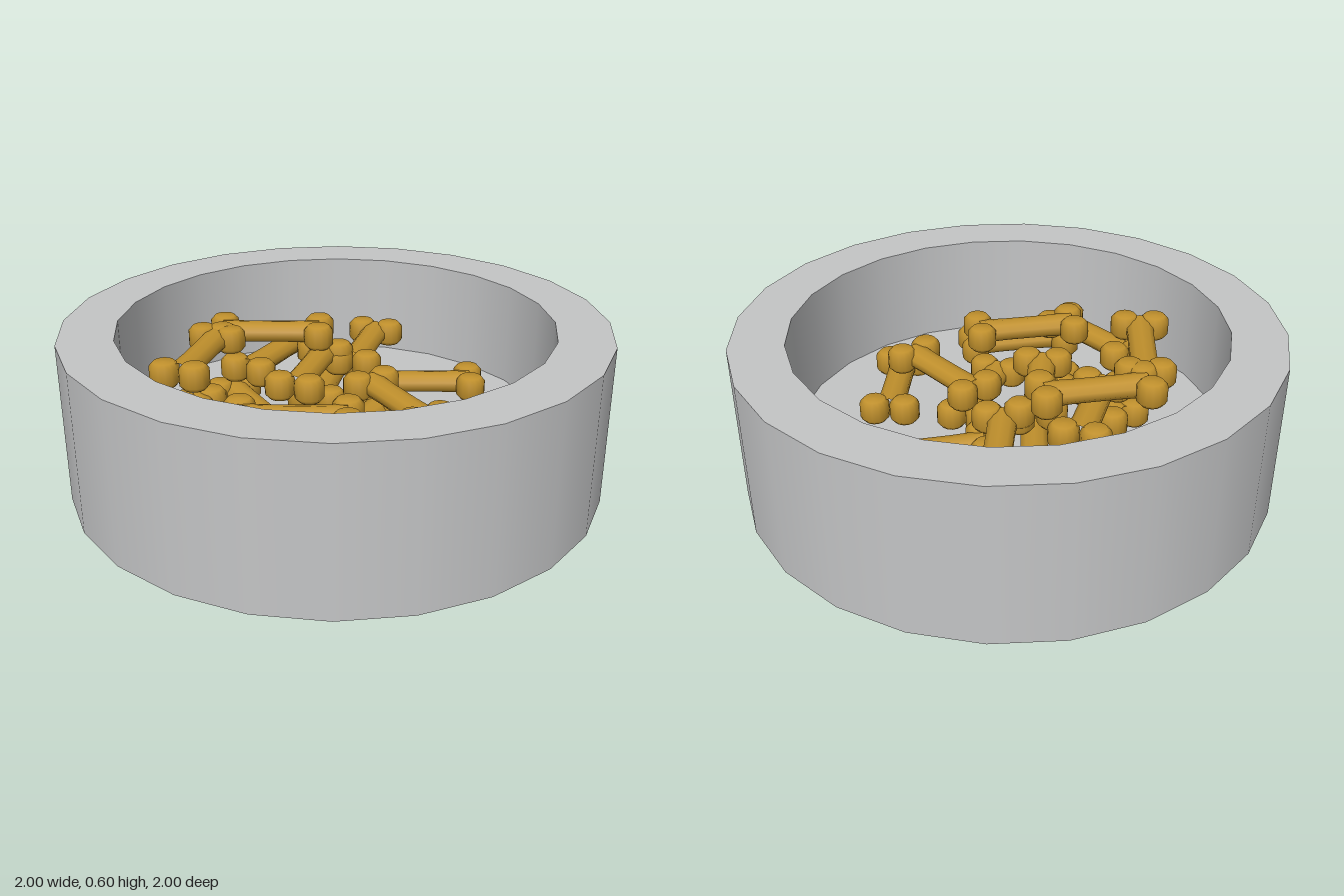
import * as THREE from 'three';
import { mergeGeometries } from 'three/addons/utils/BufferGeometryUtils.js';

// Sharp-edged turned shape: each profile span is lathed separately so its normals stay crisp
function turned(profile, sides) {
  const spans = [];
  for (let i = 0; i < profile.length - 1; i++) {
    const pair = [profile[i], profile[i + 1]].map(([r, y]) => new THREE.Vector2(r, y));
    spans.push(new THREE.LatheGeometry(pair, sides));
  }
  return mergeGeometries(spans);
}

export function createModel() {
  const model = new THREE.Group();
  const grey = new THREE.MeshStandardMaterial({ color: 0xc4c5c6 });
  grey.name = 'bowl grey';
  const gold = new THREE.MeshStandardMaterial({ color: 0xc0902c });
  gold.name = 'biscuit gold';

  // Thick-walled round bowl
  const bowl = new THREE.Mesh(
    turned([[0, 0], [1, 0], [1, 0.6], [0.8, 0.6], [0.8, 0.2], [0, 0.2]], 24), grey);
  bowl.name = 'bowl';
  model.add(bowl);

  // Shared biscuit parts: rounded knob and slightly waisted shaft
  const knobProfile = [[0, -0.048], [0.04, -0.046], [0.056, -0.028], [0.056, 0.028], [0.04, 0.046], [0, 0.048]];
  const knobGeo = new THREE.LatheGeometry(knobProfile.map(([r, y]) => new THREE.Vector2(r, y)), 14);
  const shaftProfile = [[0.056, -0.5], [0.052, -0.2], [0.052, 0.2], [0.056, 0.5]];
  const shaftGeo = new THREE.LatheGeometry(shaftProfile.map(([r, y]) => new THREE.Vector2(r, y)), 10);
  shaftGeo.rotateX(Math.PI / 2).scale(1, 0.78, 1);

  // One bone-shaped biscuit lying between two end points
  function addBone([x1, z1, x2, z2, y], index) {
    const bone = new THREE.Group();
    bone.name = 'boneBiscuit' + (index + 1);
    const length = Math.hypot(x2 - x1, z2 - z1);
    const shaft = new THREE.Mesh(shaftGeo, gold);
    shaft.name = 'shaft';
    shaft.scale.z = length;
    bone.add(shaft);
    for (const sx of [-1, 1]) for (const sz of [-1, 1]) {
      const knob = new THREE.Mesh(knobGeo, gold);
      knob.name = 'knob';
      knob.position.set(sx * 0.057, 0, sz * length / 2);
      bone.add(knob);
    }
    bone.position.set((x1 + x2) / 2, y, (z1 + z2) / 2);
    bone.rotation.y = Math.atan2(x2 - x1, z2 - z1);
    model.add(bone);
  }

  // Heap of biscuits: both ends in x, z, then height
  [
    // bottom layer
    [-0.27, 0.03, -0.27, -0.34, 0.26],
    [-0.56, 0.30, -0.23, 0.49, 0.25],
    [-0.16, 0.25, 0.16, 0.06, 0.25],
    [0.08, 0.56, 0.345, 0.29, 0.25],
    [0.24, -0.14, 0.58, 0.05, 0.26],
    [0.24, -0.41, -0.02, -0.12, 0.25],
    // middle layer
    [0.43, -0.42, 0.165, -0.16, 0.35],
    [0.09, -0.25, -0.18, 0.01, 0.38],
    [0.12, 0.055, 0.12, 0.43, 0.35],
    [-0.52, -0.10, -0.52, 0.27, 0.35],
    [0.07, -0.45, -0.245, -0.25, 0.37],
    // top layer
    [-0.475, 0.16, -0.15, 0.35, 0.39],
    [-0.57, -0.125, -0.305, -0.40, 0.46],
    [-0.25, -0.46, 0.075, -0.27, 0.46],
  ].forEach(addBone);

  return model;
}
